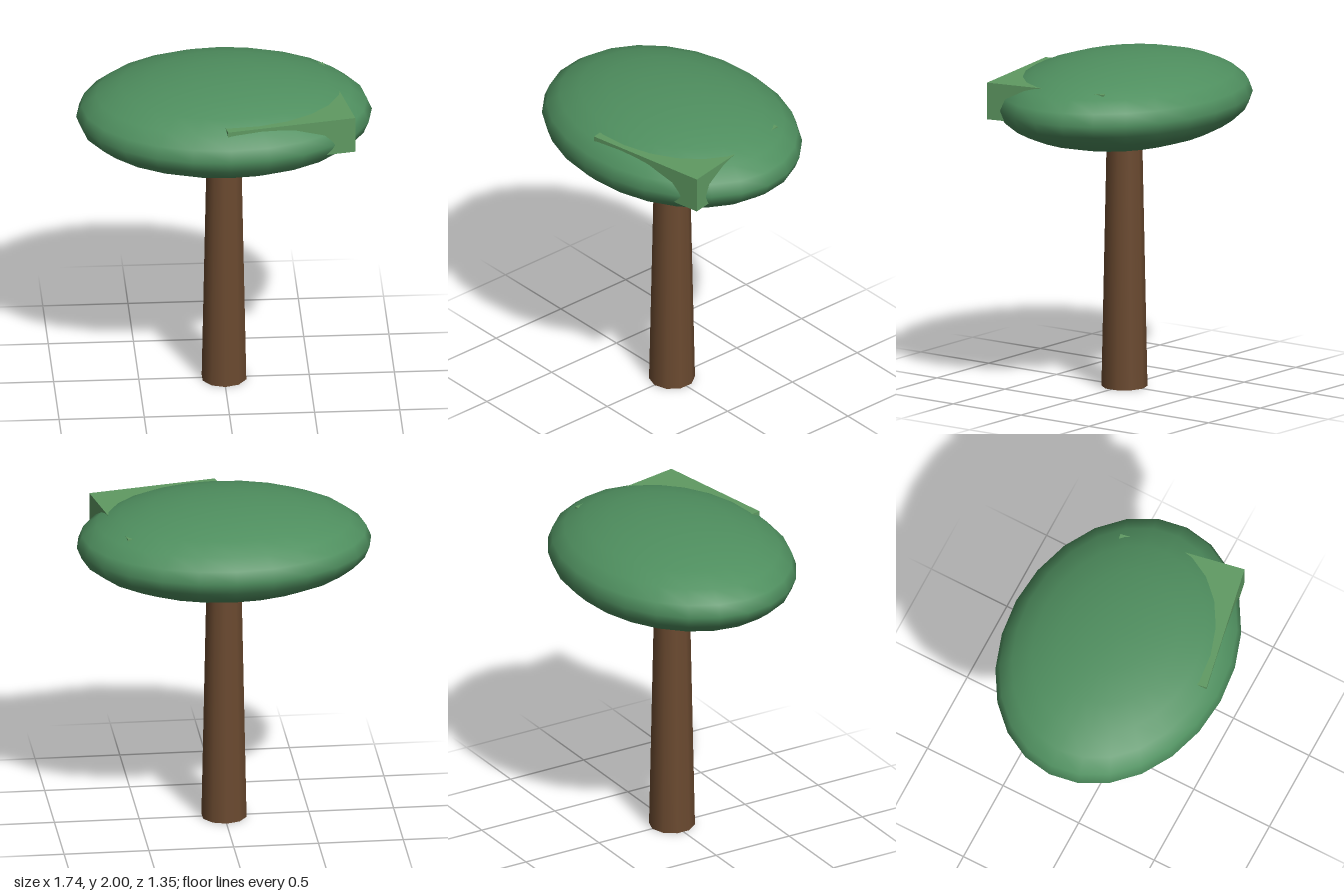
import * as THREE from 'three';

export function createModel() {
  const tree = new THREE.Group();
  tree.name = 'tree';

  const add = (name, geometry, color, y) => {
    const mesh = new THREE.Mesh(geometry, new THREE.MeshStandardMaterial({ color }));
    mesh.name = name;
    mesh.position.y = y;
    tree.add(mesh);
    return mesh;
  };

  // Tapered ten-sided trunk, its top buried in the foliage
  const trunkHeight = 1.6;
  add('trunk', new THREE.CylinderGeometry(0.102, 0.135, trunkHeight, 10), 0x6b4a30, trunkHeight / 2);

  // Flattened oval canopy
  const canopy = new THREE.SphereGeometry(1, 24, 12);
  canopy.scale(0.868, 0.272, 0.676);
  add('canopy', canopy, 0x4f8f5f, 1.728);

  // Square foliage slab whose corners break through the canopy
  const slab = add('foliageSlab', new THREE.BoxGeometry(0.77, 0.22, 0.76), 0x5f9a62, 1.78);
  slab.position.x = 0.293;
  slab.position.z = 0.145;
  slab.rotation.y = 0.19;

  return tree;
}
